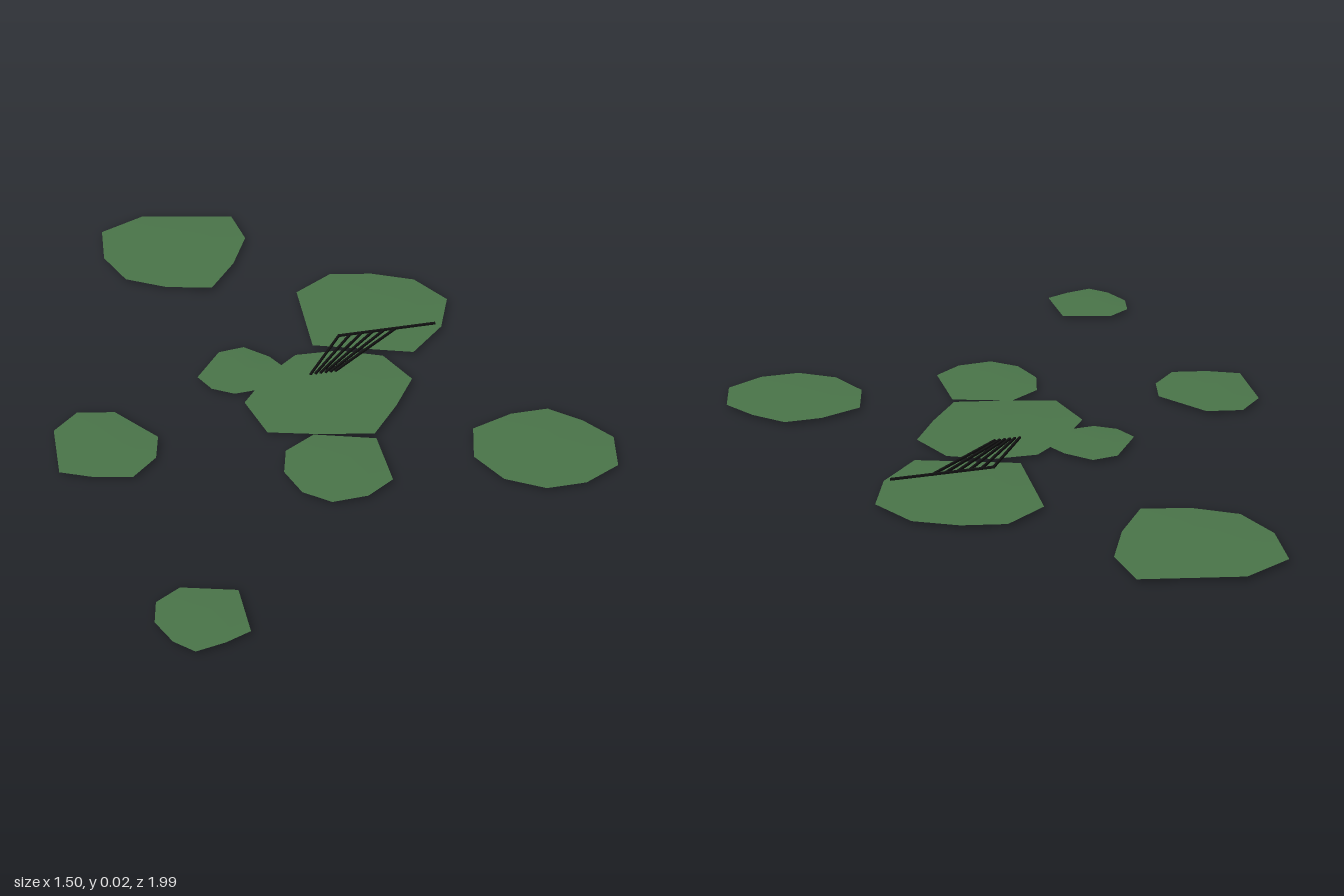
import * as THREE from 'three';

const leafGreen = new THREE.MeshStandardMaterial({ color: 0x4a7549 });
leafGreen.name = 'leafGreen';
const stemBlack = new THREE.MeshStandardMaterial({ color: 0x111111 });
stemBlack.name = 'stemBlack';

// Rim outlines of the floating pads as x, z pairs, clockwise seen from above
const pads = {
  backPad: [-.46, -.94, -.325, -1, -.055, -.94, -.037, -.81, -.1, -.68, -.188, -.566, -.32, -.6, -.43, -.667, -.476, -.794],
  backLeftPad: [.053, -.487, .172, -.56, .294, -.534, .41, -.476, .479, -.354, .426, -.222, .315, -.116, .177, -.164, .04, -.212],
  smallPad: [-.23, -.238, -.156, -.247, -.093, -.185, -.066, -.132, -.13, -.037, -.225, -.032, -.283, -.069, -.312, -.132],
  centrePad: [-.019, -.175, .108, -.169, .225, -.116, .278, .01, .204, .122, .114, .234, -.045, .2, -.172, .164, -.206, .016, -.119, -.095],
  rightPad: [-.669, -.042, -.566, -.021, -.468, .116, -.489, .206, -.563, .275, -.664, .254, -.754, .212, -.743, .026],
  frontPad: [-.05, .2, .114, .254, .114, .439, .034, .492, -.066, .497, -.135, .439, -.164, .344, -.14, .254],
  leftPad: [.384, .27, .505, .228, .611, .228, .69, .302, .749, .392, .722, .513, .616, .566, .505, .566, .405, .503, .352, .392],
  frontRightPad: [-.521, .746, -.378, .788, -.378, .947, -.447, .974, -.526, .99, -.574, .942, -.606, .862, -.59, .788],
};

// One half of a pad: rim, inner ring and centre, at heights rim / ring / mid
function padSide(rim, heights, up) {
  const n = rim.length / 2;
  let cx = 0, cz = 0;
  for (let i = 0; i < n; i++) { cx += rim[2 * i] / n; cz += rim[2 * i + 1] / n; }
  const pos = [], index = [];
  [1, 0.6].forEach((s, ring) => {
    for (let i = 0; i < n; i++) {
      pos.push(cx + (rim[2 * i] - cx) * s, heights[ring], cz + (rim[2 * i + 1] - cz) * s);
    }
  });
  pos.push(cx, heights[2], cz);
  const tri = (a, b, c) => up ? index.push(a, c, b) : index.push(a, b, c);
  for (let i = 0; i < n; i++) {
    const j = (i + 1) % n;
    tri(i, j, n + j);
    tri(i, n + j, n + i);
    tri(n + i, n + j, 2 * n);
  }
  const geo = new THREE.BufferGeometry();
  geo.setAttribute('position', new THREE.Float32BufferAttribute(pos, 3));
  geo.setIndex(index);
  geo.computeVertexNormals();
  return geo;
}

// Thin square bar between two points on the same level
function bar(x0, z0, x1, z1, y, size) {
  const dx = x1 - x0, dz = z1 - z0;
  const mesh = new THREE.Mesh(new THREE.BoxGeometry(Math.hypot(dx, dz) + size, size, size), stemBlack);
  mesh.position.set((x0 + x1) / 2, y, (z0 + z1) / 2);
  mesh.rotation.y = -Math.atan2(dz, dx);
  return mesh;
}

export function createModel() {
  const model = new THREE.Group();

  // Floating pads, nearly flat on top with a shallow belly
  for (const [name, rim] of Object.entries(pads)) {
    const pad = new THREE.Group();
    pad.name = name;
    const main = name === 'centrePad';
    const y = main ? 0.0125 : 0.0115;
    const top = new THREE.Mesh(padSide(rim, [y, y + 0.0012, y + 0.0018], true), leafGreen);
    top.name = 'padTop';
    const belly = main ? [y, 0.004, 0] : [y, 0.007, 0.006];
    const under = new THREE.Mesh(padSide(rim, belly, false), leafGreen);
    under.name = 'padUnderside';
    pad.add(top, under);
    model.add(pad);
  }

  // Bent stems lying across the pads, fanned and sharing the same back line
  for (let i = 0; i < 6; i++) {
    const stem = new THREE.Group();
    stem.name = 'stem' + (i + 1);
    const xBend = 0.122 + i * 0.034;
    const diagonal = bar(0.003 + i * 0.0145, -0.068, xBend, -0.232, 0.019, 0.006);
    diagonal.name = 'stemDiagonal';
    const end = bar(xBend, -0.232, xBend + 0.115, -0.232, 0.019, 0.006);
    end.name = 'stemEnd';
    stem.add(diagonal, end);
    model.add(stem);
  }
  return model;
}
